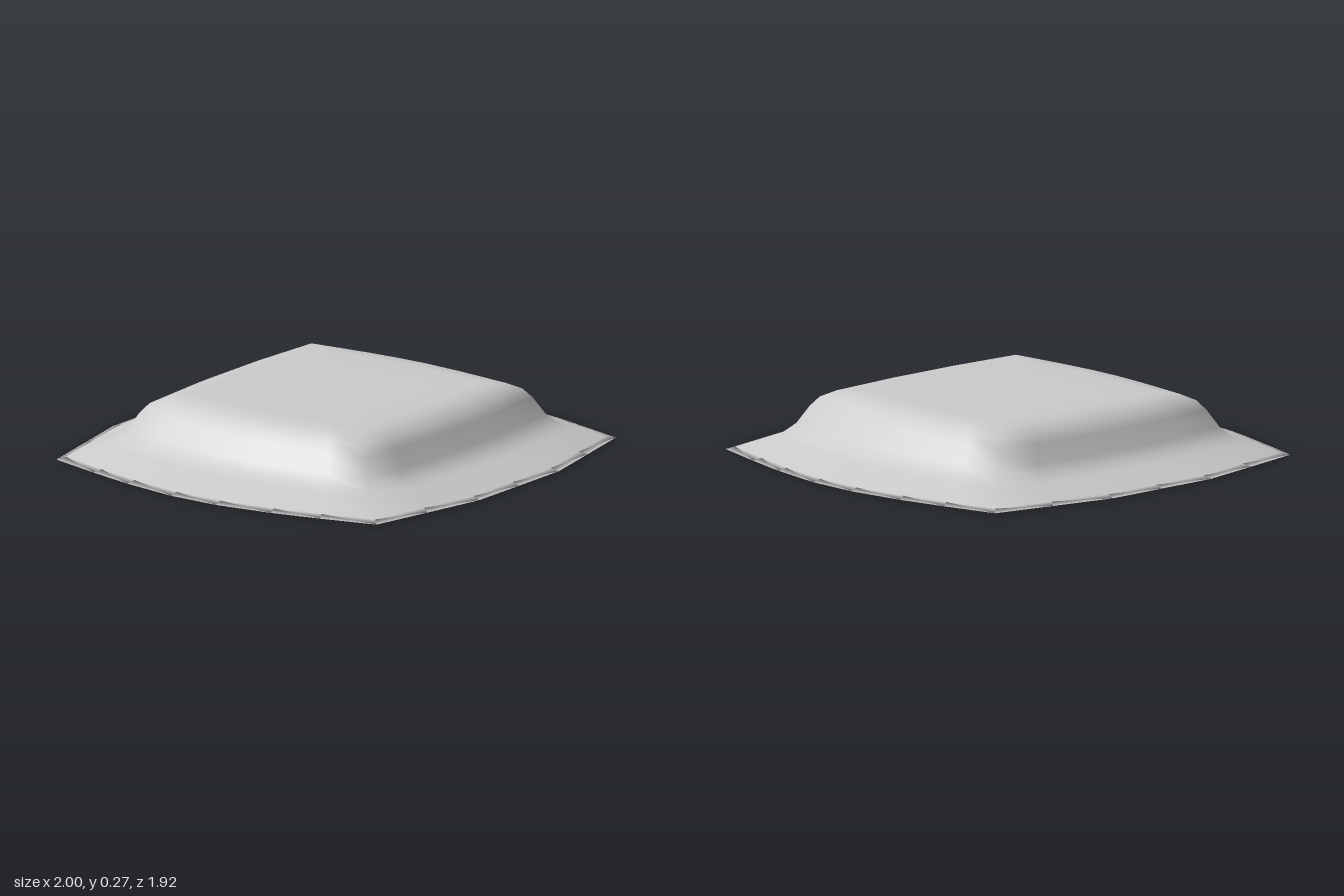
import * as THREE from 'three';

// Each ring: half-size at the corners, at the middle of the x sides, of the z sides, and height.
const RINGS = [
  // top panel, shoulder and wall
  [0, 0, 0, 0.268],
  [0.25, 0.26, 0.25, 0.268],
  [0.44, 0.47, 0.46, 0.27],
  [0.51, 0.55, 0.53, 0.262],
  [0.56, 0.6, 0.585, 0.235],
  [0.59, 0.645, 0.625, 0.195],
  [0.63, 0.7, 0.67, 0.12],
  [0.67, 0.745, 0.715, 0.08],
  // flange down to the rim
  [0.71, 0.8, 0.77, 0.062],
  [0.81, 0.965, 0.925, 0.015],
  [0.84, 1.0, 0.96, 0.004],
  // shallow groove beneath the flange, then the flat base
  [0.79, 0.94, 0.9, 0.012],
  [0.74, 0.86, 0.82, 0.03],
  [0.7, 0.78, 0.74, 0.03],
  [0.66, 0.72, 0.68, 0.006],
  [0.6, 0.66, 0.62, 0],
  [0.3, 0.32, 0.3, 0],
  [0, 0, 0, 0],
];

// Steps along a side (-1 to 1) paired with how far that step bulges outwards.
const X_SIDE = [[-1, 0], [-0.71, 0.42], [-0.45, 0.75], [-0.14, 1], [0.14, 1], [0.45, 0.75], [0.71, 0.42]];
const Z_SIDE = [[-1, 0], [-0.67, 0.5], [-0.333, 1], [0, 1], [0.333, 1], [0.67, 0.5]];

// Walk one ring anticlockwise as seen from above.
function ringPoints([corner, midX, midZ, y]) {
  const points = [];
  const xSide = (sign) => X_SIDE.forEach(([t, bulge]) =>
    points.push([sign * (corner + (midX - corner) * bulge), y, -sign * t * corner]));
  const zSide = (sign) => Z_SIDE.forEach(([t, bulge]) =>
    points.push([sign * t * corner, y, sign * (corner + (midZ - corner) * bulge)]));
  xSide(1);
  // back side runs from +x to -x, front side from -x to +x
  zSide(-1);
  xSide(-1);
  zSide(1);
  return points;
}

// Join consecutive rings into one smooth closed skin.
function loft(rings) {
  const loops = rings.map(ringPoints);
  const n = loops[0].length;
  const index = [];
  for (let i = 0; i < loops.length - 1; i++) {
    for (let j = 0; j < n; j++) {
      const k = (j + 1) % n;
      const a = i * n + j, a2 = i * n + k;
      const b = a + n, b2 = a2 + n;
      if (i < loops.length - 2) index.push(a, b, b2);
      else index.push(a, b, a2);
      if (i > 0 && i < loops.length - 2) index.push(a, b2, a2);
    }
  }
  const geometry = new THREE.BufferGeometry();
  geometry.setAttribute('position', new THREE.Float32BufferAttribute(loops.flat(2), 3));
  geometry.setIndex(index);
  geometry.computeVertexNormals();
  return geometry;
}

export function createModel() {
  const group = new THREE.Group();
  group.name = 'flangedCushion';
  const material = new THREE.MeshStandardMaterial({ color: 0xcccccc, side: THREE.DoubleSide });
  const cushion = new THREE.Mesh(loft(RINGS), material);
  cushion.name = 'cushion';
  group.add(cushion);
  return group;
}
